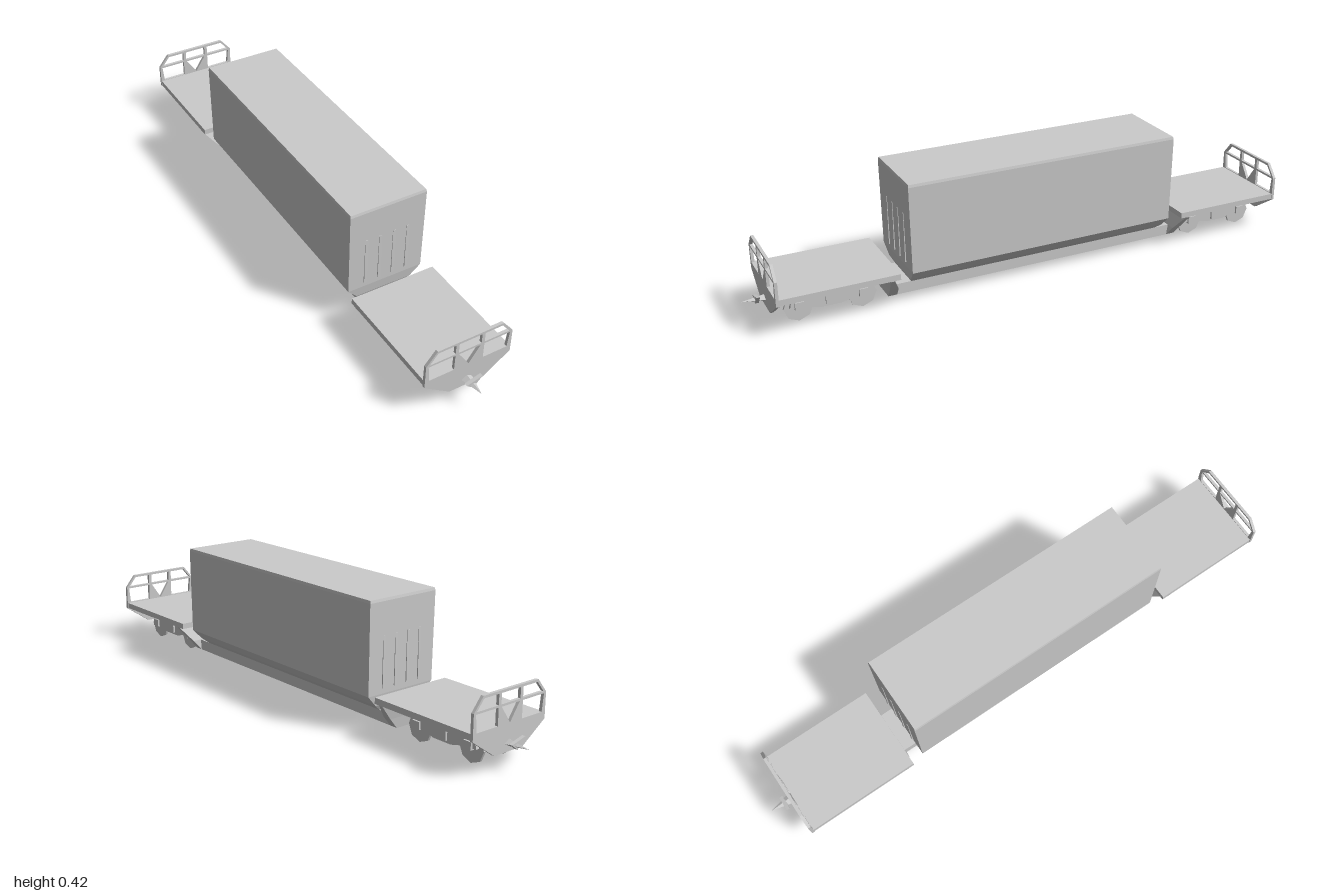
import * as THREE from 'three';

const mat = new THREE.MeshStandardMaterial({ color: 0xcccccc, flatShading: true, side: THREE.DoubleSide });

function add(parent, name, geo, x = 0, y = 0, z = 0) {
  const m = new THREE.Mesh(geo, mat);
  m.name = name;
  m.position.set(x, y, z);
  parent.add(m);
  return m;
}

const box = (w, h, d) => new THREE.BoxGeometry(w, h, d);

// Closed solid through stacked rectangles, each [y, halfWidth, zMin, zMax]
function stack(levels) {
  const pos = [], idx = [];
  for (const [y, hx, z0, z1] of levels) pos.push(-hx, y, z1, hx, y, z1, hx, y, z0, -hx, y, z0);
  for (let l = 0; l < levels.length - 1; l++) {
    for (let i = 0; i < 4; i++) {
      const a = l * 4 + i, b = l * 4 + (i + 1) % 4;
      idx.push(a, b, b + 4, a, b + 4, a + 4);
    }
  }
  const t = (levels.length - 1) * 4;
  idx.push(0, 2, 1, 0, 3, 2, t, t + 1, t + 2, t, t + 2, t + 3);
  const g = new THREE.BufferGeometry();
  g.setAttribute('position', new THREE.Float32BufferAttribute(pos, 3));
  g.setIndex(idx);
  g.computeVertexNormals();
  return g;
}

const points = list => list.map(([x, y]) => new THREE.Vector2(x, y));
const extrude = (shape, depth) => new THREE.ExtrudeGeometry(shape, { depth, bevelEnabled: false });

// End plate and safety railing cut from one sheet
function endPlate() {
  const shape = new THREE.Shape(points([
    [-0.06, 0.053], [0.06, 0.053], [0.152, 0.117], [0.152, 0.2],
    [0.115, 0.245], [-0.115, 0.245], [-0.152, 0.2], [-0.152, 0.117]]));
  const holes = [
    [[-0.04, 0.203], [0.04, 0.203], [0.04, 0.237], [-0.04, 0.237]],
    [[-0.038, 0.196], [0, 0.14], [0.038, 0.196]]];
  for (const s of [-1, 1]) {
    holes.push([[s * 0.051, 0.14], [s * 0.137, 0.14], [s * 0.143, 0.196], [s * 0.051, 0.196]]);
    holes.push([[s * 0.051, 0.203], [s * 0.14, 0.203], [s * 0.112, 0.237], [s * 0.051, 0.237]]);
  }
  for (const h of holes) shape.holes.push(new THREE.Path(points(h)));
  return extrude(shape, 0.01);
}

// Two-axle truck centred on its own z
function makeBogie() {
  const g = new THREE.Group();
  g.name = 'bogie';
  const frame = new THREE.Shape(points([
    [-0.135, 0.055], [-0.075, 0.05], [-0.035, 0.04], [0.035, 0.04], [0.075, 0.05], [0.135, 0.055],
    [0.13, 0.078], [0.08, 0.09], [0.04, 0.105], [-0.04, 0.105], [-0.08, 0.09], [-0.13, 0.078]]));
  for (const s of [-1, 1]) {
    const f = add(g, 'sideFrame', extrude(frame, 0.012), s * 0.062 + 0.006);
    f.rotation.y = -Math.PI / 2;
    add(g, 'springPack', box(0.014, 0.04, 0.04), s * 0.068, 0.068, 0);
    for (const z of [-0.105, 0.105]) {
      const wheel = add(g, 'wheel', new THREE.CylinderGeometry(0.048, 0.048, 0.008, 8), s * 0.051, 0.05, z);
      wheel.rotation.z = Math.PI / 2;
      add(g, 'axleBox', box(0.014, 0.026, 0.03), s * 0.068, 0.062, z);
    }
  }
  for (const z of [-0.105, 0.105]) {
    add(g, 'axle', new THREE.CylinderGeometry(0.009, 0.009, 0.1, 6), 0, 0.05, z).rotation.z = Math.PI / 2;
  }
  add(g, 'bolster', box(0.124, 0.035, 0.04), 0, 0.075, 0);
  add(g, 'pivot', box(0.04, 0.03, 0.04), 0, 0.106, 0);
  return g;
}

// Raised platform over one bogie, facing +z
function makeEnd() {
  const g = new THREE.Group();
  g.name = 'endPlatform';
  add(g, 'deck', box(0.3, 0.02, 0.395), 0, 0.128, 0.7225);
  add(g, 'endPlate', endPlate(), 0, 0, 0.916);
  // Sloping bulkhead between platform and well
  add(g, 'bulkhead', stack([
    [0.028, 0.075, 0.515, 0.545], [0.065, 0.107, 0.52, 0.55],
    [0.117, 0.15, 0.545, 0.56], [0.13, 0.15, 0.545, 0.56]]));
  const bogie = makeBogie();
  bogie.position.z = 0.73;
  g.add(bogie);
  // Coupler: wedge shank with a flared, tilted knuckle
  const shank = new THREE.ConeGeometry(0.02, 0.08, 4);
  shank.scale(1, 1, 0.6);
  add(g, 'coupler', shank, 0, 0.08, 0.96).rotation.x = Math.PI / 2;
  const knuckle = new THREE.Shape(points([[-0.022, 0.085], [0.002, 0.066], [0.012, 0.078], [0.033, 0.1]]));
  add(g, 'couplerKnuckle', extrude(knuckle, 0.012), 0, 0, 0.945);
  return g;
}

export function createModel() {
  const model = new THREE.Group();
  model.name = 'wellWagon';

  // Low centre well
  add(model, 'well', box(0.15, 0.037, 1.09), 0, 0.0465, 0);

  // Container with tapered underside
  add(model, 'container', stack([
    [0.065, 0.075, -0.465, 0.465], [0.085, 0.1, -0.475, 0.475], [0.122, 0.135, -0.48, 0.48],
    [0.418, 0.137, -0.484, 0.484], [0.427, 0.135, -0.482, 0.482]]));

  // Upright ribs on the container ends
  for (const s of [-1, 1]) {
    for (const x of [-0.075, -0.025, 0.025, 0.075]) {
      add(model, 'containerRib', box(0.01, 0.17, 0.006), x, 0.225, s * 0.481);
    }
  }

  const front = makeEnd();
  const back = makeEnd();
  back.rotation.y = Math.PI;
  model.add(front, back);
  return model;
}
